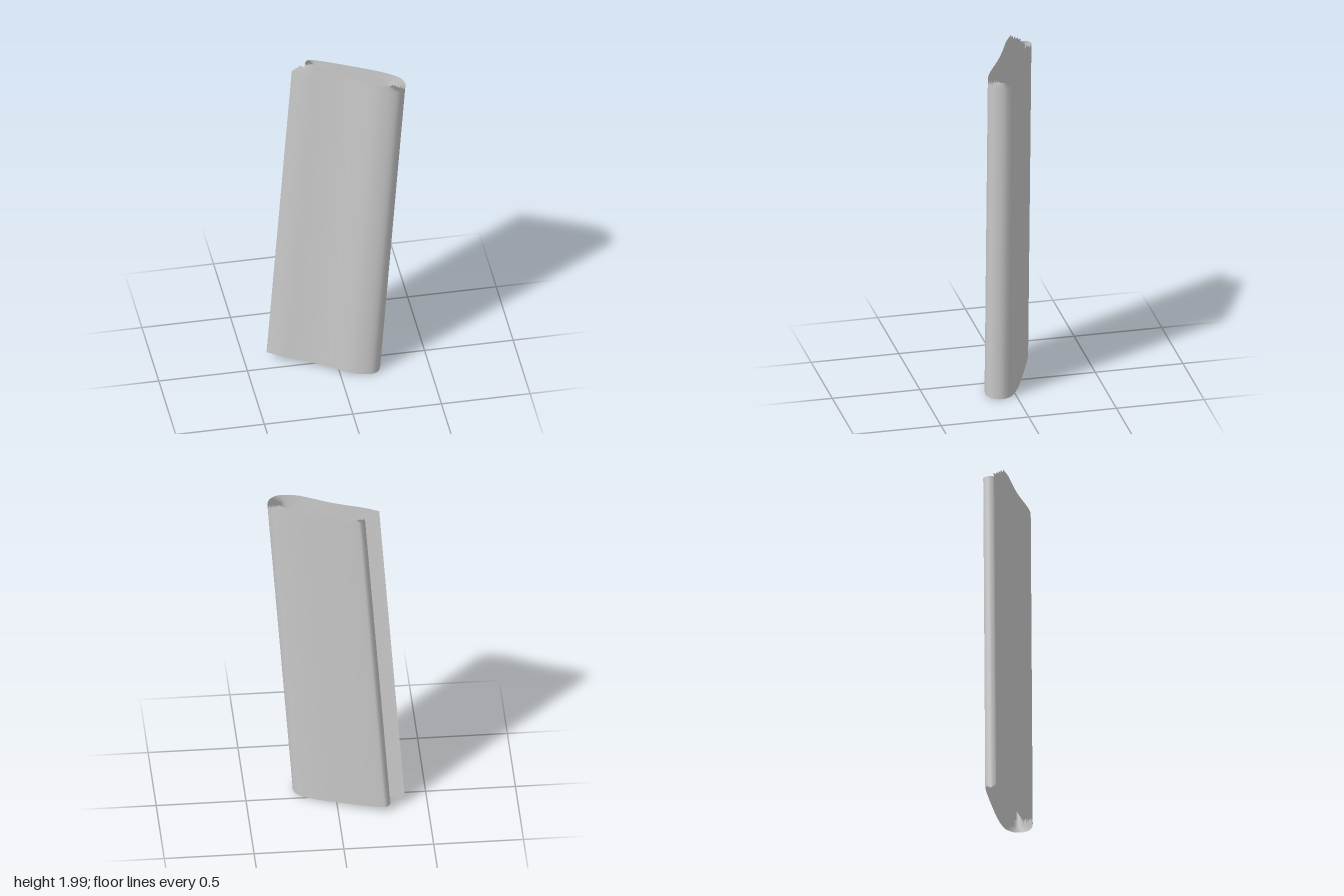
import * as THREE from 'three';

// Rows: outer sheet x, z, then inner sheet x, z, along the folded section
// (loose tail, front panel, right fold, back panel, left fold, tucked-in panel)
const SECTION = [
  [-0.235, -0.075, -0.185, -0.118], [-0.16, -0.03, -0.13, -0.075],
  [-0.06, 0.015, -0.035, -0.03], [0.04, 0.065, 0.065, 0.02],
  [0.14, 0.125, 0.16, 0.075], [0.22, 0.165, 0.22, 0.105],
  [0.31, 0.178, 0.28, 0.12], [0.352, 0.155, 0.3, 0.108],
  [0.372, 0.1, 0.305, 0.09], [0.35, 0.045, 0.295, 0.072],
  [0.32, 0.02, 0.28, 0.06], [0.24, -0.025, 0.22, 0.028],
  [0.1, -0.085, 0.085, -0.045], [0, -0.125, -0.015, -0.09],
  [-0.1, -0.16, -0.095, -0.132], [-0.125, -0.163, -0.107, -0.134],
  [-0.148, -0.14, -0.113, -0.129], [-0.148, -0.11, -0.113, -0.124],
  [-0.13, -0.095, -0.105, -0.118], [-0.05, -0.062, -0.03, -0.085],
  [0.09, 0.007, 0.1, -0.025], [0.24, 0.08, 0.25, 0.05],
];
const SHEETS = 9;
const ALONG = (SECTION.length - 1) * 4;
const UP = 10;

// One sheet: t = 0 is the outermost, t = 1 the innermost
function sheetGeometry(t, stagger) {
  const lerp = THREE.MathUtils.lerp;
  const curve = new THREE.CatmullRomCurve3(
    SECTION.map(([ox, oz, ix, iz]) => new THREE.Vector3(lerp(ox, ix, t), 0, lerp(oz, iz, t))));
  const pos = [], index = [];
  for (let j = 0; j <= UP; j++) {
    const v = j / UP;
    for (let i = 0; i <= ALONG; i++) {
      const u = i / ALONG;
      const p = curve.getPoint(u);
      // loose tail: ragged edge, fanned out towards the top
      const tail = Math.max(0, 1 - u * 12);
      p.x += tail * (stagger - t * (1 - v) * 0.03);
      p.z += tail * t * ((1 - v) * 0.013 + Math.sin(Math.PI * v) * 0.012);
      // ends square to the leaning axis
      const y = lerp(0.05, 2, v) - 0.074 * (p.x + 0.235);
      pos.push(p.x - 0.14 * (1 - v), Math.max(0, y), p.z - 0.015 * (1 - v));
      if (i < ALONG && j < UP) {
        const a = j * (ALONG + 1) + i, b = a + ALONG + 1;
        index.push(a, a + 1, b, a + 1, b + 1, b);
      }
    }
  }
  const geo = new THREE.BufferGeometry();
  geo.setAttribute('position', new THREE.Float32BufferAttribute(pos, 3));
  geo.setIndex(index);
  geo.computeVertexNormals();
  return geo;
}

export function createModel() {
  const group = new THREE.Group();
  group.name = 'foldedPaper';
  const material = new THREE.MeshStandardMaterial({ color: 0xcccccc, side: THREE.DoubleSide });
  for (let k = 0; k < SHEETS; k++) {
    const mesh = new THREE.Mesh(sheetGeometry(k / (SHEETS - 1), k % 2 ? 0.008 : 0), material);
    mesh.name = k === 0 ? 'outerSheet' : `innerSheet${k}`;
    group.add(mesh);
  }
  return group;
}
